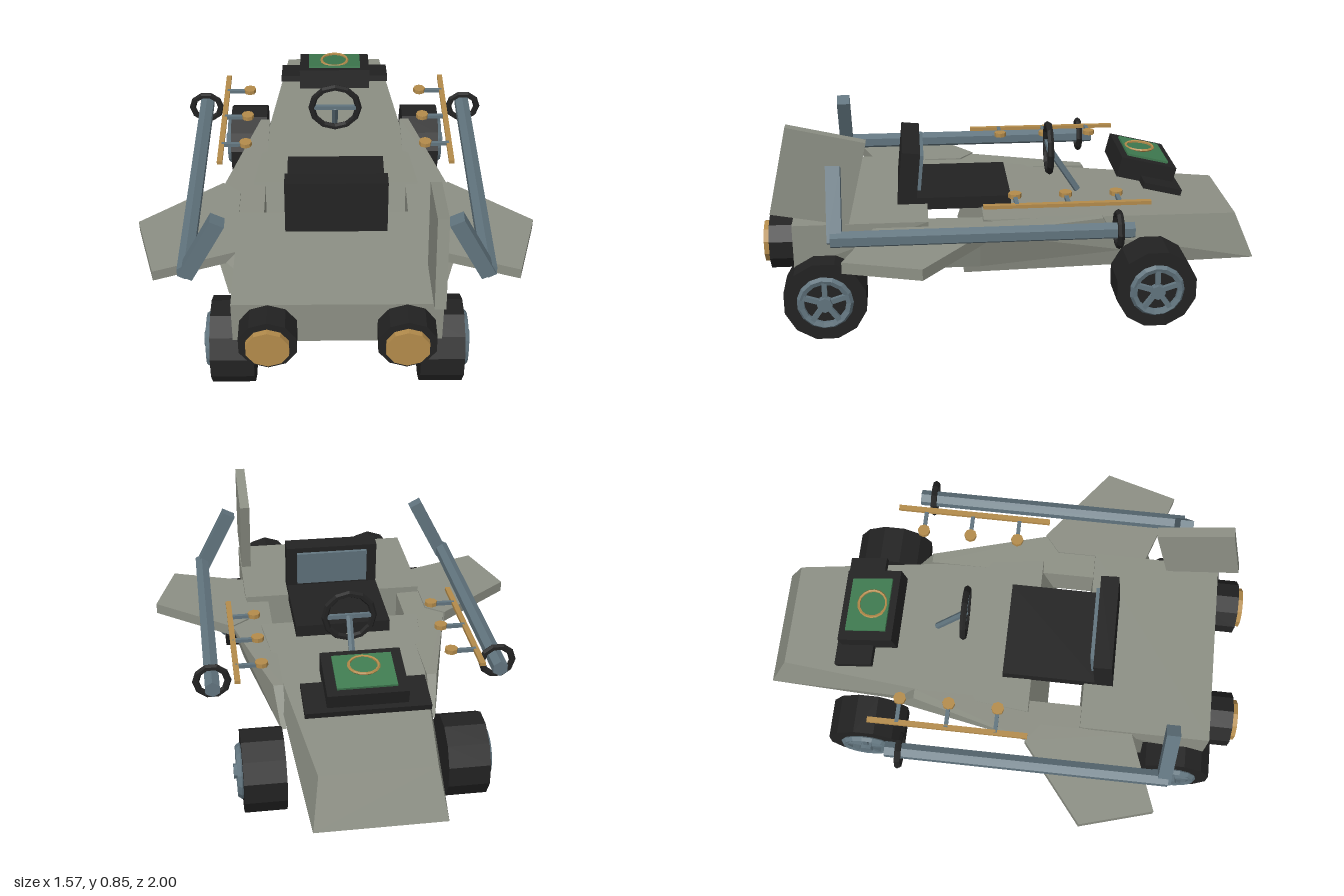
import * as THREE from 'three';
import { ConvexGeometry } from 'three/addons/geometries/ConvexGeometry.js';

const mat = (name, color) => {
  const m = new THREE.MeshStandardMaterial({ color, flatShading: true });
  m.name = name;
  return m;
};

export function createModel() {
  const root = new THREE.Group();
  root.name = 'hoverKart';
  const grey = mat('hullGrey', 0x8c8f84);
  const black = mat('rubberBlack', 0x222222);
  const steel = mat('steelBlue', 0x61747e);
  const gold = mat('brass', 0xb38b4b);
  const green = mat('screenGreen', 0x3f7a50);

  const add = (name, geo, material, pos = [0, 0, 0], rot = [0, 0, 0], parent = root) => {
    const m = new THREE.Mesh(geo, material);
    m.name = name;
    m.position.set(...pos);
    m.rotation.set(...rot);
    parent.add(m);
    return m;
  };
  const box = (w, h, d) => new THREE.BoxGeometry(w, h, d);
  const hull = (pts) => new ConvexGeometry(pts.map((p) => new THREE.Vector3(...p)));
  // hull symmetric about x = 0, from points on one side
  const symHull = (pts) => hull(pts.flatMap(([x, y, z]) => [[x, y, z], [-x, y, z]]));
  // bar between two points
  const bar = (name, a, b, r, sides, material, parent = root) => {
    const A = new THREE.Vector3(...a), B = new THREE.Vector3(...b);
    const dir = B.clone().sub(A);
    const m = add(name, new THREE.CylinderGeometry(r, r, dir.length(), sides), material, [0, 0, 0], [0, 0, 0], parent);
    m.position.copy(A).add(B).multiplyScalar(0.5);
    m.quaternion.setFromUnitVectors(new THREE.Vector3(0, 1, 0), dir.normalize());
    return m;
  };

  // Body: tapered nose and engine block
  add('nose', symHull([
    [0.25, 0.19, -1], [0.22, 0.38, -0.92], [0.34, 0.435, 0.13], [0.3, 0.19, 0.21],
  ]), grey);
  add('engineBlock', symHull([
    [0.39, 0.455, 0.88], [0.39, 0.27, 0.88], [0.39, 0.455, 0.35],
    [0.34, 0.22, 0.35], [0.34, 0.22, 0.72],
  ]), grey);

  // Seat
  add('seatCushion', box(0.4, 0.05, 0.4), black, [0, 0.455, 0.21]);
  add('seatBack', box(0.4, 0.22, 0.075), black, [0, 0.562, 0.422], [-0.1, 0, 0]);
  add('seatPad', box(0.31, 0.15, 0.015), steel, [0, 0.57, 0.375], [-0.1, 0, 0]);

  // Steering wheel on a slanted column
  add('steeringWheel', new THREE.TorusGeometry(0.1, 0.014, 6, 12), black, [0, 0.61, -0.165]);
  bar('steeringColumn', [0, 0.61, -0.165], [0, 0.42, -0.29], 0.014, 6, steel);
  add('steeringSpoke', box(0.19, 0.018, 0.014), steel, [0, 0.61, -0.165]);

  // Console with a green screen and ring
  const tilt = [0.23, 0, 0];
  const dash = new THREE.Group();
  dash.name = 'console';
  dash.position.set(0, 0.545, -0.555);
  dash.rotation.set(-0.24, 0, 0);
  root.add(dash);
  add('consoleBox', box(0.31, 0.085, 0.235), black, [0, 0, 0], [0, 0, 0], dash);
  add('consoleBase', box(0.48, 0.025, 0.16), black, [0, -0.03, -0.06], [0, 0, 0], dash);
  add('screen', box(0.23, 0.009, 0.175), green, [0, 0.047, 0], [0, 0, 0], dash);
  add('screenRing', new THREE.TorusGeometry(0.058, 0.006, 5, 16), gold, [0, 0.607, -0.55], [Math.PI / 2 - tilt[0] * 0.3, 0, 0]);

  // Single tail fin on the left side
  const fin = [[0.88, 0.855], [0.58, 0.785], [0.66, 0.45], [0.96, 0.505]];
  add('tailFin', hull(fin.flatMap(([z, y]) => [[0.345, y, z], [0.387, y, z]])), grey);

  for (const s of [-1, 1]) {
    const side = new THREE.Group();
    side.name = s > 0 ? 'leftSide' : 'rightSide';
    root.add(side);
    const put = (name, geo, material, pos, rot) => add(name, geo, material, pos, rot, side);

    // Side pod
    put('sidePod', hull([
      [0.29, 0.42, -0.35], [0.33, 0.42, -0.35], [0.465, 0.43, 0.15], [0.465, 0.43, 0.56], [0.29, 0.43, 0.57],
      [0.29, 0.27, -0.44], [0.31, 0.27, -0.44], [0.42, 0.27, 0.15], [0.42, 0.27, 0.62], [0.29, 0.27, 0.64],
    ].map(([x, y, z]) => [s * x, y, z])), grey);

    // Swept side wing
    const wing = [[0.39, 0.19], [0.465, 0.13], [0.785, 0.38], [0.7, 0.675], [0.39, 0.565]];
    put('wing', hull(wing.flatMap(([x, z]) => [[s * x, 0.39, z], [s * x, 0.435, z]])), grey);

    // Long side boom with raised arm and ring
    bar('boom', [s * 0.57, 0.47, -0.43], [s * 0.57, 0.47, 0.72], 0.033, 6, steel, side);
    const arm = put('boomArm', box(0.058, 0.29, 0.055), steel, [s * 0.502, 0.582, 0.705]);
    arm.rotation.z = s * 0.48;
    put('boomRing', new THREE.TorusGeometry(0.063, 0.014, 6, 10), black, [s * 0.57, 0.475, -0.37]);

    // Brass rail with three knobs
    put('rail', box(0.022, 0.014, 0.65), gold, [s * 0.475, 0.545, -0.185]);
    for (const z of [-0.39, -0.19, 0.01]) {
      put('railBracket', box(0.1, 0.014, 0.016), steel, [s * 0.425, 0.545, z]);
      put('railKnob', new THREE.CylinderGeometry(0.026, 0.026, 0.018, 8), gold, [s * 0.375, 0.55, z]);
    }

    // Rear thruster
    const rx = [Math.PI / 2, 0, 0];
    put('thruster', new THREE.CylinderGeometry(0.112, 0.112, 0.14, 10), black, [s * 0.255, 0.342, 0.905], rx);
    put('thrusterGlow', new THREE.CylinderGeometry(0.083, 0.083, 0.05, 10), gold, [s * 0.255, 0.342, 0.973], rx);

    // Wheels with a rim, five spokes and a hub
    for (const z of [-0.55, 0.76]) {
      const wheel = new THREE.Group();
      wheel.name = z < 0 ? 'noseWheel' : 'engineWheel';
      wheel.position.set(s * 0.395, 0.166, z);
      wheel.rotation.y = s * Math.PI / 2;
      side.add(wheel);
      const part = (name, geo, material, pos, rot) => add(name, geo, material, pos, rot, wheel);
      part('tyre', new THREE.CylinderGeometry(0.165, 0.165, 0.165, 12).rotateY(Math.PI / 12), black, [0, 0, 0], rx);
      part('rim', new THREE.TorusGeometry(0.095, 0.016, 5, 15), steel, [0, 0, 0.088]);
      for (let i = 0; i < 5; i++) {
        const a = Math.PI / 2 + i * Math.PI * 0.4;
        part('spoke', box(0.09, 0.02, 0.02), steel, [Math.cos(a) * 0.05, Math.sin(a) * 0.05, 0.09], [0, 0, a]);
      }
      part('hub', new THREE.CylinderGeometry(0.03, 0.03, 0.035, 8), steel, [0, 0, 0.097], rx);
    }
  }
  return root;
}
